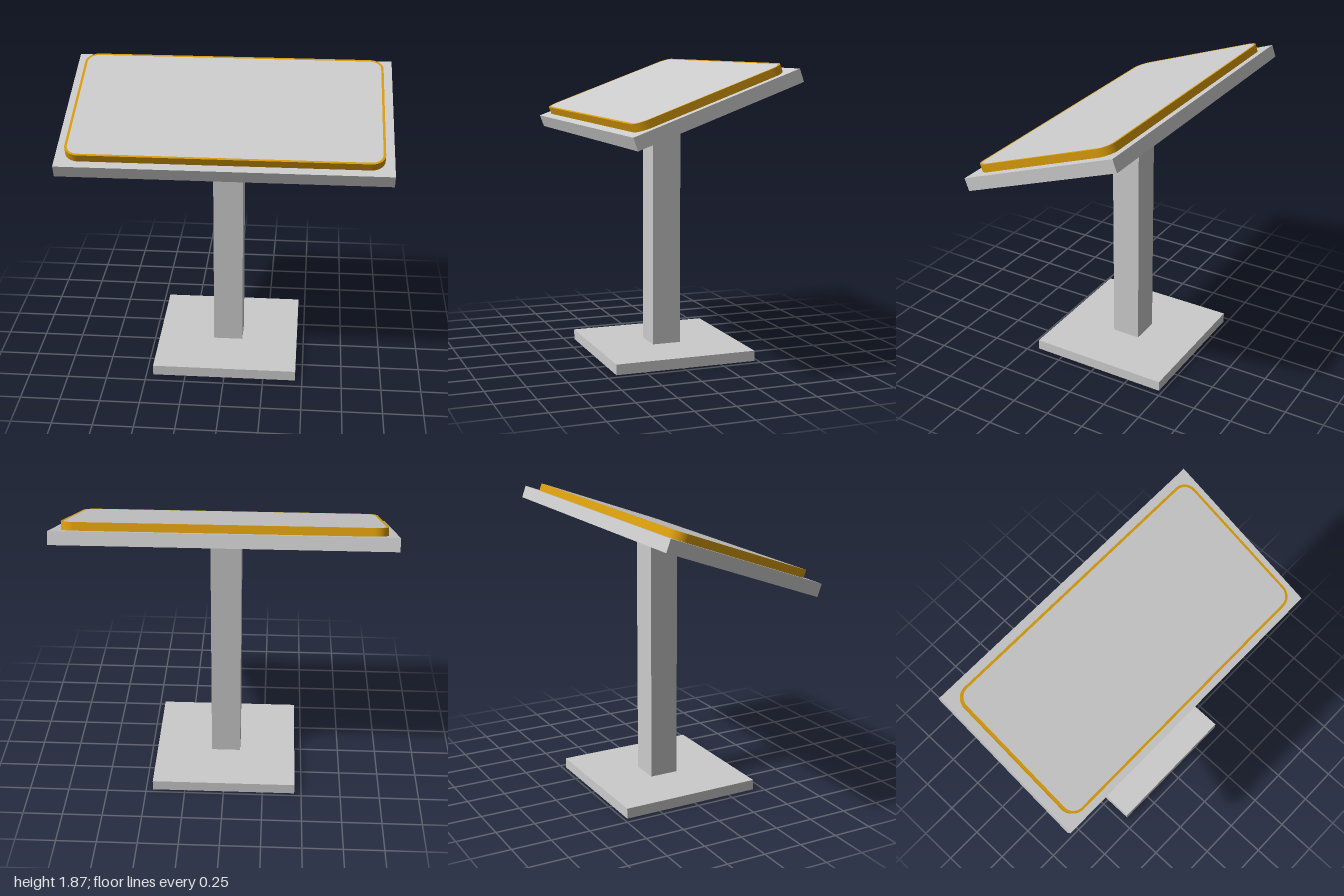
import * as THREE from 'three';

const TILT = THREE.MathUtils.degToRad(20);

function roundedRect(target, w, d, r) {
  const x = w / 2, y = d / 2;
  target.moveTo(-x + r, -y);
  target.lineTo(x - r, -y);
  target.absarc(x - r, -y + r, r, -Math.PI / 2, 0);
  target.lineTo(x, y - r);
  target.absarc(x - r, y - r, r, 0, Math.PI / 2);
  target.lineTo(-x + r, y);
  target.absarc(-x + r, y - r, r, Math.PI / 2, Math.PI);
  target.lineTo(-x, -y + r);
  target.absarc(-x + r, -y + r, r, Math.PI, Math.PI * 1.5);
  return target;
}

// Flat slab lying in the xz plane, rising from y = 0
function slab(shape, depth) {
  return new THREE.ExtrudeGeometry(shape, { depth, bevelEnabled: false, curveSegments: 10 })
    .rotateX(-Math.PI / 2);
}

export function createModel() {
  const model = new THREE.Group();
  const grey = new THREE.MeshStandardMaterial({ color: 0xcccccc });
  const amber = new THREE.MeshStandardMaterial({ color: 0xd89b0c });

  function add(parent, name, geometry, material, x, y, z) {
    const mesh = new THREE.Mesh(geometry, material);
    mesh.name = name;
    mesh.position.set(x, y, z);
    parent.add(mesh);
  }

  // Foot plate
  add(model, 'base', new THREE.BoxGeometry(0.912, 0.066, 0.912), grey, 0, 0.033, -0.021);

  // Square post, its top cut to the slope of the board
  const post = new THREE.Shape([
    new THREE.Vector2(-0.07, 0.066),
    new THREE.Vector2(0.115, 0.066),
    new THREE.Vector2(0.115, 1.617),
    new THREE.Vector2(-0.07, 1.55),
  ]);
  const postGeometry = new THREE.ExtrudeGeometry(post, { depth: 0.188, bevelEnabled: false })
    .translate(0, 0, -0.094).rotateY(Math.PI / 2);
  add(model, 'post', postGeometry, grey, 0, 0, 0);

  // Tilted top: board, coloured rim and the panel it frames
  const top = new THREE.Group();
  top.name = 'tiltedTop';
  top.position.set(0, 1.62, 0.001);
  top.rotation.x = TILT;
  model.add(top);

  add(top, 'board', new THREE.BoxGeometry(2, 0.08, 1.056), grey, 0, 0, 0);

  const rim = roundedRect(new THREE.Shape(), 1.888, 0.955, 0.085);
  rim.holes.push(roundedRect(new THREE.Path(), 1.858, 0.925, 0.07));
  add(top, 'rim', slab(rim, 0.048), amber, 0, 0.04, 0);

  const panel = roundedRect(new THREE.Shape(), 1.858, 0.925, 0.07);
  add(top, 'panel', slab(panel, 0.048), grey, 0, 0.04, 0);

  return model;
}
